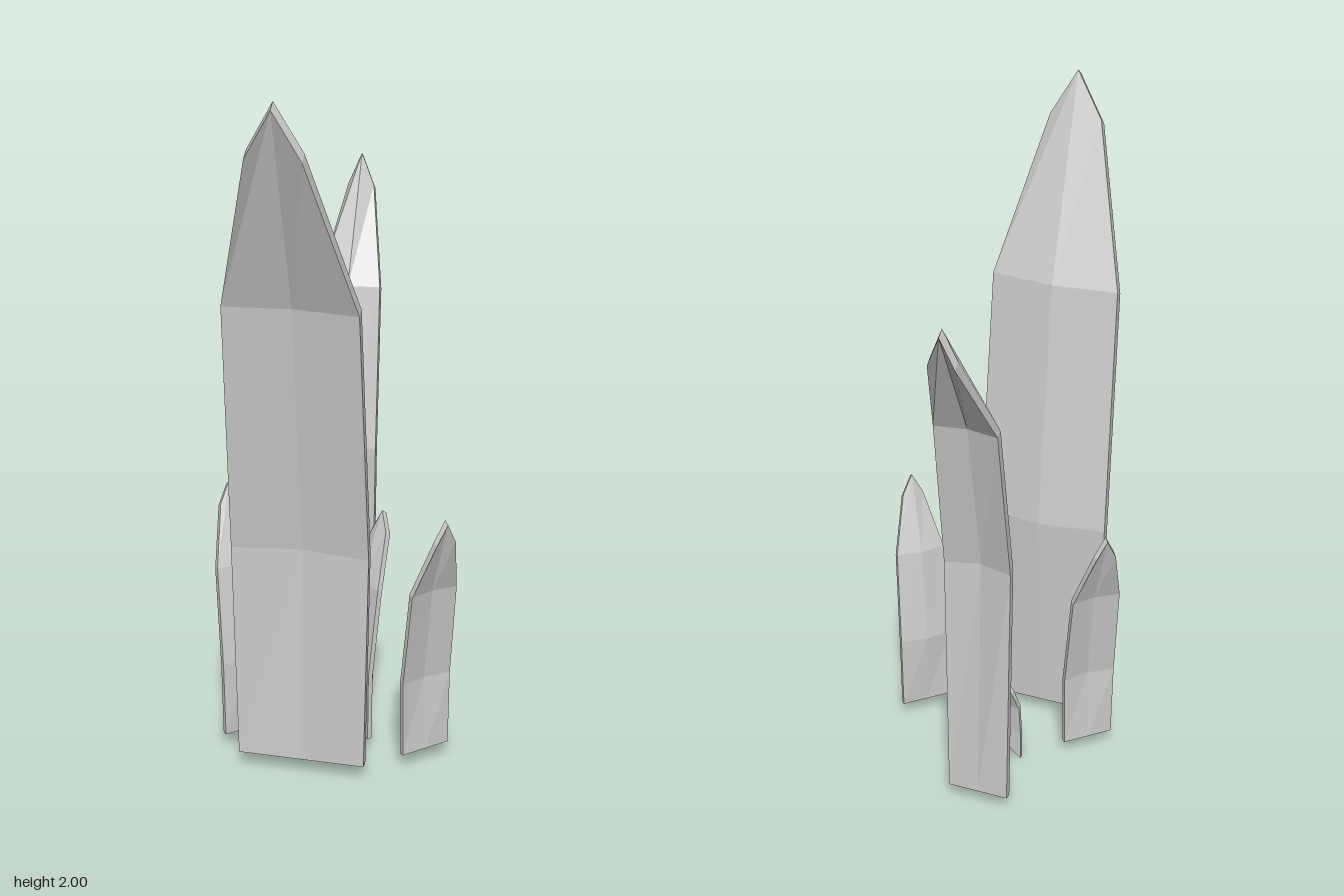
import * as THREE from 'three';

// One folded blade. Each row is [halfWidth, edgeY, edgeZ, midY, midZ] of the inner face,
// with z pointing the way the blade leans; the outer face is offset by the thickness.
function makeBlade(name, rows, thickness, skew = 0) {
  const sheet = (dz) => rows.map(([w, ey, ez, my, mz], i) => {
    const s = i === 0 ? skew : 0;
    const drop = dz * (i === 0 ? 0 : i / 4); // leaning parts are thick at an angle
    return [
      new THREE.Vector3(-w, ey + s - drop, ez + dz),
      new THREE.Vector3(0, my - drop, mz + dz),
      new THREE.Vector3(w, ey - s - drop, ez + dz),
    ];
  });
  const inner = sheet(0), outer = sheet(thickness);
  const points = [];
  const quad = (a, b, c, d) => points.push(a, b, c, a, c, d);

  const last = rows.length - 1;
  for (let i = 0; i < last; i++) {
    for (let j = 0; j < 2; j++) {
      // outer face looks to +z, inner face to -z
      quad(outer[i][j], outer[i][j + 1], outer[i + 1][j + 1], outer[i + 1][j]);
      quad(inner[i][j + 1], inner[i][j], inner[i + 1][j], inner[i + 1][j + 1]);
    }
    // side rims
    quad(inner[i][0], outer[i][0], outer[i + 1][0], inner[i + 1][0]);
    quad(outer[i][2], inner[i][2], inner[i + 1][2], outer[i + 1][2]);
  }
  // bottom rim and tip rim
  for (let j = 0; j < 2; j++) {
    quad(inner[0][j], inner[0][j + 1], outer[0][j + 1], outer[0][j]);
    quad(outer[last][j], outer[last][j + 1], inner[last][j + 1], inner[last][j]);
  }

  const geometry = new THREE.BufferGeometry().setFromPoints(points);
  geometry.computeVertexNormals();
  const material = new THREE.MeshStandardMaterial({ color: 0xcccccc, flatShading: true });
  const mesh = new THREE.Mesh(geometry, material);
  mesh.name = name;
  return mesh;
}

// Short blade shared by the three small leaves; k scales the height above the base
function smallRows(k) {
  const y = (h) => 0.05 + h * k;
  return [
    [0.077, y(0), 0, y(0), 0],
    [0.080, y(0.23), 0, y(0.23), -0.012],
    [0.074, y(0.52), 0.034, y(0.52), 0.022],
    [0.031, y(0.69), 0.087, y(0.75), 0.094],
  ];
}

export function createModel() {
  const group = new THREE.Group();
  group.name = 'leafCluster';

  const place = (blade, x, z, yaw) => {
    blade.position.set(x, 0, z);
    blade.rotation.y = yaw;
    group.add(blade);
  };

  // Tall front leaf
  place(makeBlade('tallFrontLeaf', [
    [0.183, 0.05, 0.238, 0.05, 0.238],
    [0.195, 0.70, 0.235, 0.70, 0.205],
    [0.186, 1.43, 0.313, 1.43, 0.291],
    [0.075, 1.87, 0.458, 2.00, 0.472],
  ], 0.024), -0.065, 0, 0);

  // Medium back leaf
  place(makeBlade('mediumBackLeaf', [
    [0.090, 0.05, 0.236, 0.05, 0.236],
    [0.098, 0.82, 0.235, 0.82, 0.207],
    [0.091, 1.29, 0.312, 1.29, 0.297],
    [0.038, 1.55, 0.463, 1.64, 0.475],
  ], 0.021), -0.062, 0, Math.PI);

  // Three small leaves
  place(makeBlade('smallLeftLeaf', smallRows(1), 0.014), 0.258, 0.108, Math.PI * 0.25);
  place(makeBlade('smallRightLeaf', smallRows(1), 0.014), -0.258, 0.122, Math.PI * 1.25);
  place(makeBlade('smallMiddleLeaf', smallRows(0.9), 0.014), 0.040, 0.052, Math.PI * 0.75);

  // Tiny sprout with a slanted base
  place(makeBlade('tinySprout', [
    [0.027, 0.026, -0.008, 0.026, -0.006],
    [0.029, 0.10, -0.002, 0.10, -0.004],
    [0.027, 0.20, 0.008, 0.20, 0.004],
    [0.013, 0.26, 0.026, 0.286, 0.030],
  ], 0.012, 0.026), -0.069, 0, Math.PI);

  return group;
}
